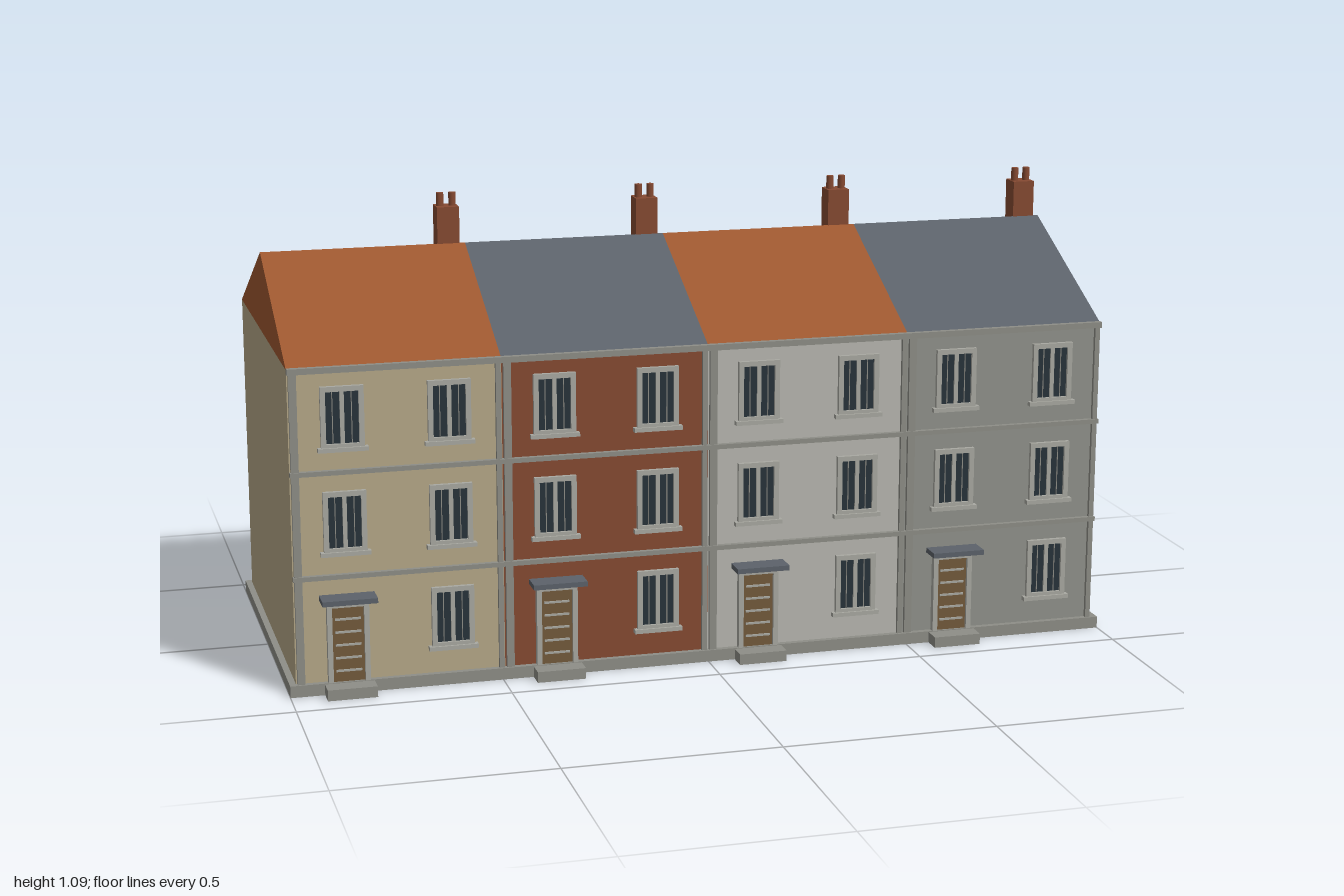
import * as THREE from 'three';

const mat = (name, color) => {
  const m = new THREE.MeshStandardMaterial({ color });
  m.name = name;
  return m;
};

const W = 0.4925;            // width of one house
const FRONT = 0.39, BACK = -0.43, RIDGE_Z = -0.02;
const BASE = 0.028, EAVES = 0.77, RIDGE_Y = 0.965;
const STOREY = 0.246;

export function createModel() {
  const M = {
    tan: mat('tan render', 0xb5a888),
    brick: mat('red brick', 0x864a32),
    pale: mat('pale render', 0xb8b7b0),
    grey: mat('grey render', 0x91928b),
    tile: mat('orange tile', 0x9e5830),
    slate: mat('slate', 0x5c626a),
    stone: mat('stone', 0x8e8e87),
    frame: mat('frame stone', 0xa9a9a2),
    glass: mat('dark glass', 0x28333b),
    door: mat('door wood', 0x735a3c),
  };

  // Box given by its lower and upper limits on each axis
  const box = (parent, name, m, x0, x1, y0, y1, z0, z1) => {
    const mesh = new THREE.Mesh(new THREE.BoxGeometry(x1 - x0, y1 - y0, z1 - z0), m);
    mesh.position.set((x0 + x1) / 2, (y0 + y1) / 2, (z0 + z1) / 2);
    mesh.name = name;
    parent.add(mesh);
    return mesh;
  };

  // Flat frame with a rectangular opening
  const ring = new THREE.Shape([[-0.05, 0], [0.05, 0], [0.05, 0.142], [-0.05, 0.142]].map(p => new THREE.Vector2(...p)));
  ring.holes.push(new THREE.Path([[-0.038, 0.008], [-0.038, 0.13], [0.038, 0.13], [0.038, 0.008]].map(p => new THREE.Vector2(...p))));
  const ringGeo = new THREE.ExtrudeGeometry(ring, { depth: 0.01, bevelEnabled: false });

  // Window facing +z, origin at the bottom centre of its frame on the wall
  const makeWindow = () => {
    const g = new THREE.Group();
    g.name = 'window';
    const surround = new THREE.Mesh(ringGeo, M.frame);
    surround.name = 'windowFrame';
    g.add(surround);
    box(g, 'windowGlass', M.glass, -0.038, 0.038, 0.008, 0.13, 0, 0.003);
    box(g, 'mullion', M.frame, -0.005, 0.005, 0.008, 0.13, 0, 0.007);
    for (const x of [-0.022, 0.022]) box(g, 'glazingBar', M.stone, x - 0.001, x + 0.001, 0.008, 0.13, 0, 0.005);
    box(g, 'windowSill', M.frame, -0.058, 0.058, -0.01, 0, 0, 0.015);
    return g;
  };

  // Door with its surround, canopy and step
  const makeDoor = () => {
    const g = new THREE.Group();
    g.name = 'doorway';
    for (const s of [-1, 1]) box(g, 'doorJamb', M.frame, s * 0.043 - 0.006, s * 0.043 + 0.006, BASE, 0.22, 0, 0.016);
    box(g, 'doorHead', M.frame, -0.049, 0.049, 0.208, 0.222, 0, 0.016);
    box(g, 'door', M.door, -0.037, 0.037, BASE, 0.208, 0, 0.008);
    for (let i = 0; i < 5; i++) {
      const y = 0.052 + i * 0.031;
      box(g, 'doorRail', M.frame, -0.03, 0.03, y, y + 0.005, 0, 0.011);
    }
    box(g, 'canopy', M.slate, -0.064, 0.064, 0.225, 0.237, 0, 0.055);
    box(g, 'doorStep', M.stone, -0.058, 0.058, 0, BASE - 0.002, 0, 0.058);
    return g;
  };

  // Closed gable roof running along x
  const gable = new THREE.Shape([[-FRONT - 0.002, EAVES], [-BACK + 0.002, EAVES], [-RIDGE_Z, RIDGE_Y]].map(p => new THREE.Vector2(...p)));
  const roofGeo = new THREE.ExtrudeGeometry(gable, { depth: W, bevelEnabled: false });
  roofGeo.rotateY(Math.PI / 2);

  const potGeo = new THREE.CylinderGeometry(0.009, 0.009, 0.034, 12);

  const makeHouse = (wall, roof) => {
    const g = new THREE.Group();
    const h = W / 2, q = W / 4;
    box(g, 'walls', wall, -h, h, BASE, EAVES, BACK, FRONT);
    const r = new THREE.Mesh(roofGeo, roof);
    r.position.x = -h;
    r.name = 'roof';
    g.add(r);

    // Front pilasters and string courses
    box(g, 'pilaster', M.stone, -h + 0.003, -h + 0.021, BASE, EAVES, FRONT, FRONT + 0.009);
    box(g, 'pilaster', M.stone, h - 0.015, h - 0.003, BASE, EAVES, FRONT, FRONT + 0.009);
    for (const y of [0.275, 0.522]) box(g, 'stringCourse', M.stone, -h, h, y, y + 0.011, FRONT, FRONT + 0.012);
    box(g, 'cornice', M.stone, -h, h, EAVES - 0.01, EAVES + 0.004, FRONT - 0.002, FRONT + 0.012);

    // Windows on three storeys, with the door in place of one
    for (let f = 0; f < 3; f++) for (const s of [-1, 1]) {
      const y = 0.094 + f * STOREY;
      const rear = makeWindow();
      rear.position.set(s * q, y, BACK);
      rear.rotation.y = Math.PI;
      g.add(rear);
      const front = f === 0 && s < 0 ? makeDoor() : makeWindow();
      front.position.set(s * q, front.name === 'doorway' ? 0 : y, FRONT);
      g.add(front);
    }

    // Chimney with two pots
    const cx = h - 0.04;
    box(g, 'chimney', M.brick, cx - 0.027, cx + 0.027, 0.9, 1.053, -0.071, -0.019);
    for (const s of [-1, 1]) {
      const pot = new THREE.Mesh(potGeo, M.brick);
      pot.position.set(cx + s * 0.015, 1.068, -0.045);
      pot.name = 'chimneyPot';
      g.add(pot);
    }
    return g;
  };

  const model = new THREE.Group();
  model.name = 'terrace';
  box(model, 'plinth', M.stone, -1, 1, 0, BASE, -0.447, 0.404);
  const styles = [[M.tan, M.tile], [M.brick, M.slate], [M.pale, M.tile], [M.grey, M.slate]];
  styles.forEach(([wall, roof], i) => {
    const house = makeHouse(wall, roof);
    house.name = `house${i + 1}`;
    house.position.x = (i - 1.5) * W;
    model.add(house);
  });
  return model;
}
